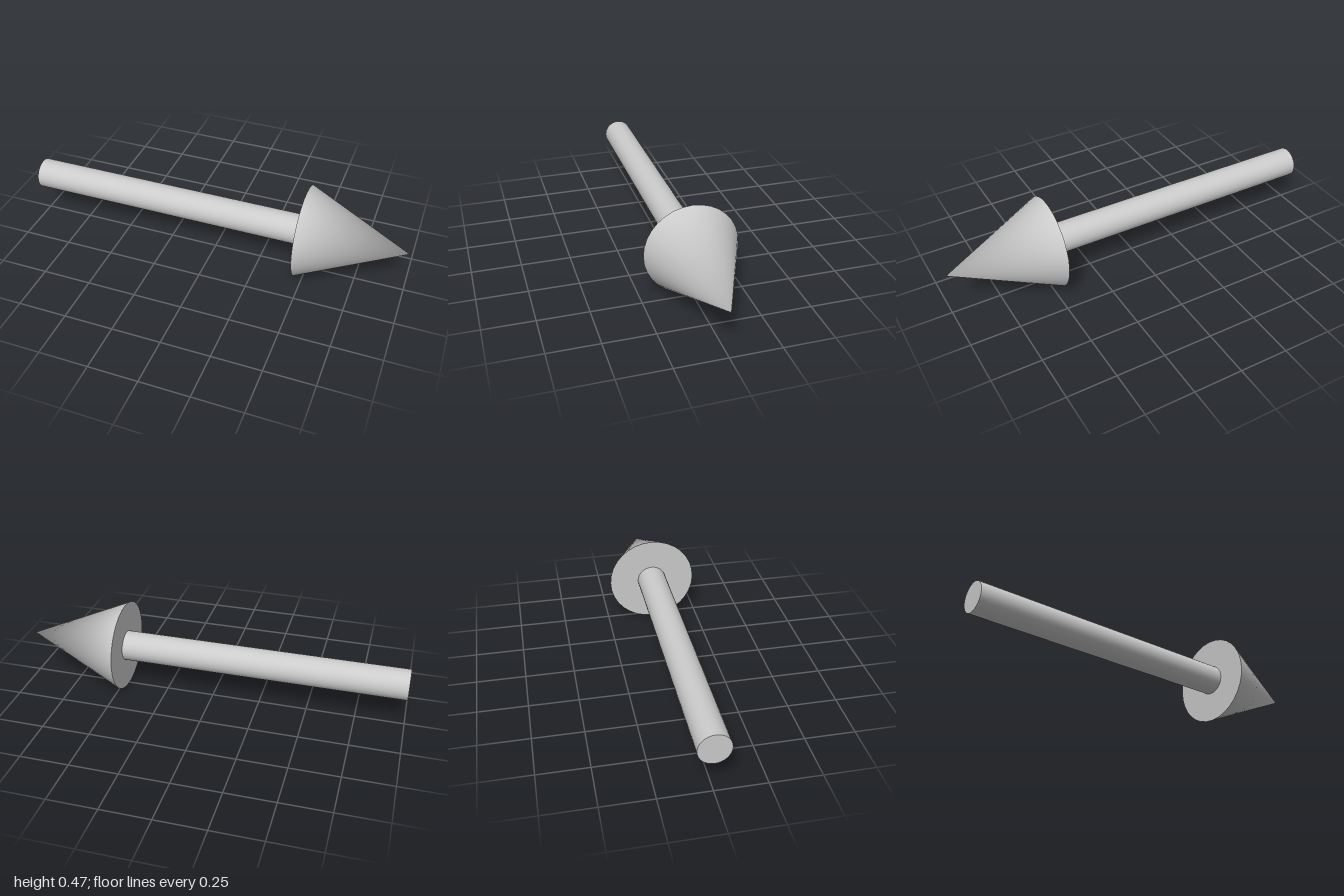
import * as THREE from 'three';

const SIDES = 32;
const AXIS_Y = 0.234;   // height of the arrow's centre line
const NECK_X = 0.47;    // where the shaft meets the head

export function createModel() {
  const group = new THREE.Group();
  group.name = 'arrow';
  const material = new THREE.MeshStandardMaterial({ color: 0xcccccc });

  // Lays an upright geometry along +x, spanning x0 to x1
  const addAlongX = (name, geometry, x0, x1) => {
    geometry.rotateZ(-Math.PI / 2);
    const mesh = new THREE.Mesh(geometry, material);
    mesh.name = name;
    mesh.position.set((x0 + x1) / 2, AXIS_Y, 0);
    group.add(mesh);
  };

  // Shaft: a plain rod with a flat end
  const shaftLength = NECK_X + 1;
  addAlongX('shaft', new THREE.CylinderGeometry(0.078, 0.078, shaftLength, SIDES), -1, NECK_X);

  // Head: a cone whose tip normals point along the axis for soft shading
  const headLength = 1 - NECK_X;
  const cone = new THREE.ConeGeometry(0.234, headLength, SIDES);
  const { position, normal } = cone.attributes;
  for (let i = 0; i < position.count; i++) {
    if (position.getY(i) > headLength / 2 - 1e-4) normal.setXYZ(i, 0, 1, 0);
  }
  addAlongX('head', cone, NECK_X, 1);

  return group;
}
